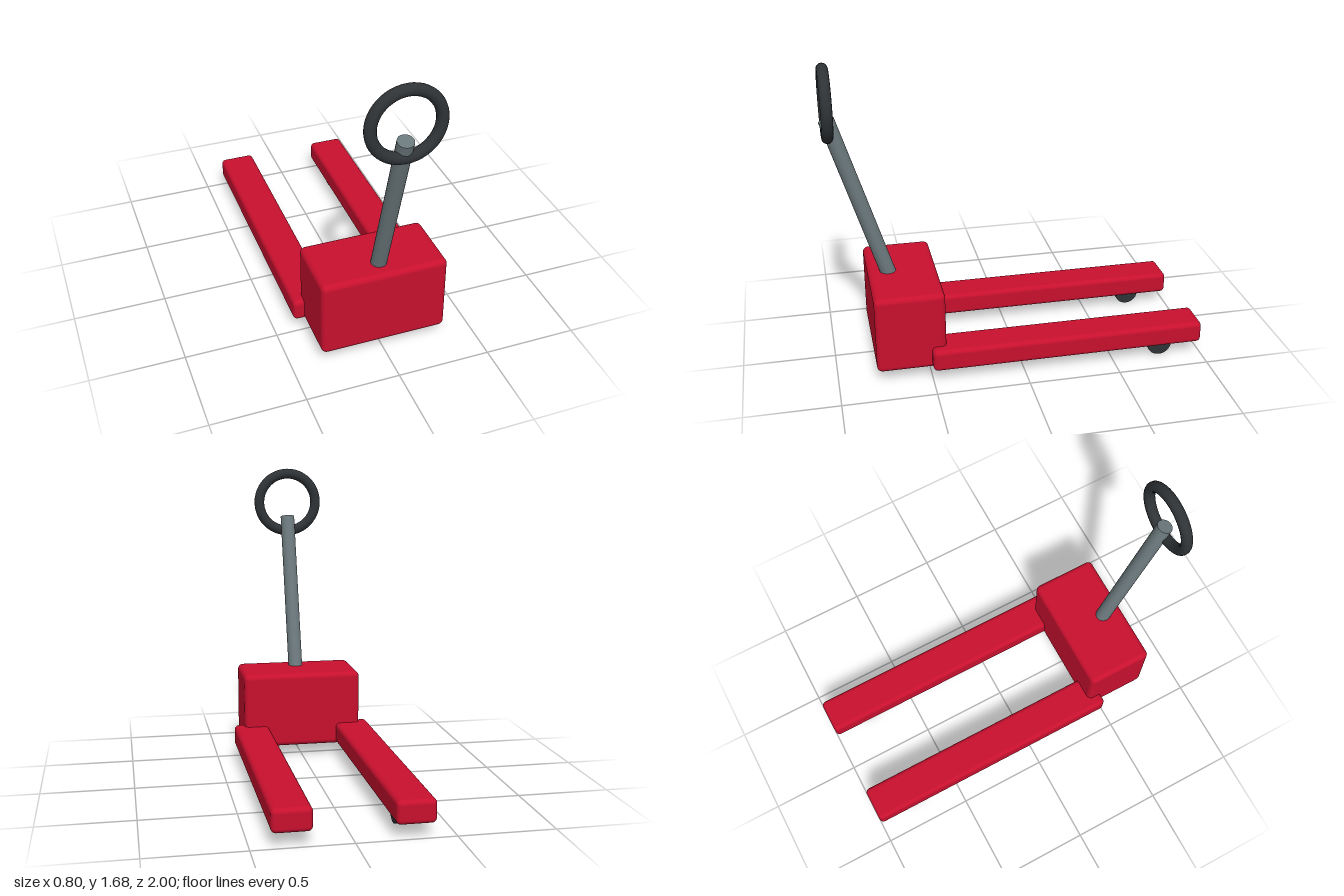
import * as THREE from 'three';
import { RoundedBoxGeometry } from 'three/addons/geometries/RoundedBoxGeometry.js';

export function createModel() {
  const model = new THREE.Group();
  const red = new THREE.MeshStandardMaterial({ color: 0xc8102e });
  const steel = new THREE.MeshStandardMaterial({ color: 0x6b787c });
  const rubber = new THREE.MeshStandardMaterial({ color: 0x2f3336 });

  const add = (name, geometry, material, x, y, z) => {
    const mesh = new THREE.Mesh(geometry, material);
    mesh.name = name;
    mesh.position.set(x, y, z);
    model.add(mesh);
    return mesh;
  };

  // Housing at the front
  add('body', new RoundedBoxGeometry(0.685, 0.435, 0.375, 4, 0.03), red, 0, 0.282, 0.607);

  // Forks, each with a roller near the tip
  for (const [side, s] of [['left', 1], ['right', -1]]) {
    add(`${side}Fork`, new RoundedBoxGeometry(0.2, 0.122, 1.5, 4, 0.025), red, s * 0.3, 0.13, -0.25);
    const roller = add(`${side}Roller`, new THREE.CylinderGeometry(0.068, 0.068, 0.122, 24),
      rubber, s * 0.302, 0.068, -0.77);
    roller.rotation.z = Math.PI / 2;
  }

  // Tiller shaft leaning forward out of the housing
  const foot = new THREE.Vector3(0, 0.44, 0.667);
  const tip = new THREE.Vector3(0, 1.384, 0.959);
  const mid = foot.clone().add(tip).multiplyScalar(0.5);
  const shaft = add('tillerShaft', new THREE.CylinderGeometry(0.042, 0.042, foot.distanceTo(tip), 24),
    steel, mid.x, mid.y, mid.z);
  shaft.rotation.x = Math.atan2(tip.z - foot.z, tip.y - foot.y);

  // Upright ring grip
  add('ringGrip', new THREE.TorusGeometry(0.175, 0.03, 16, 48), rubber, 0, 1.473, 0.96);

  return model;
}
